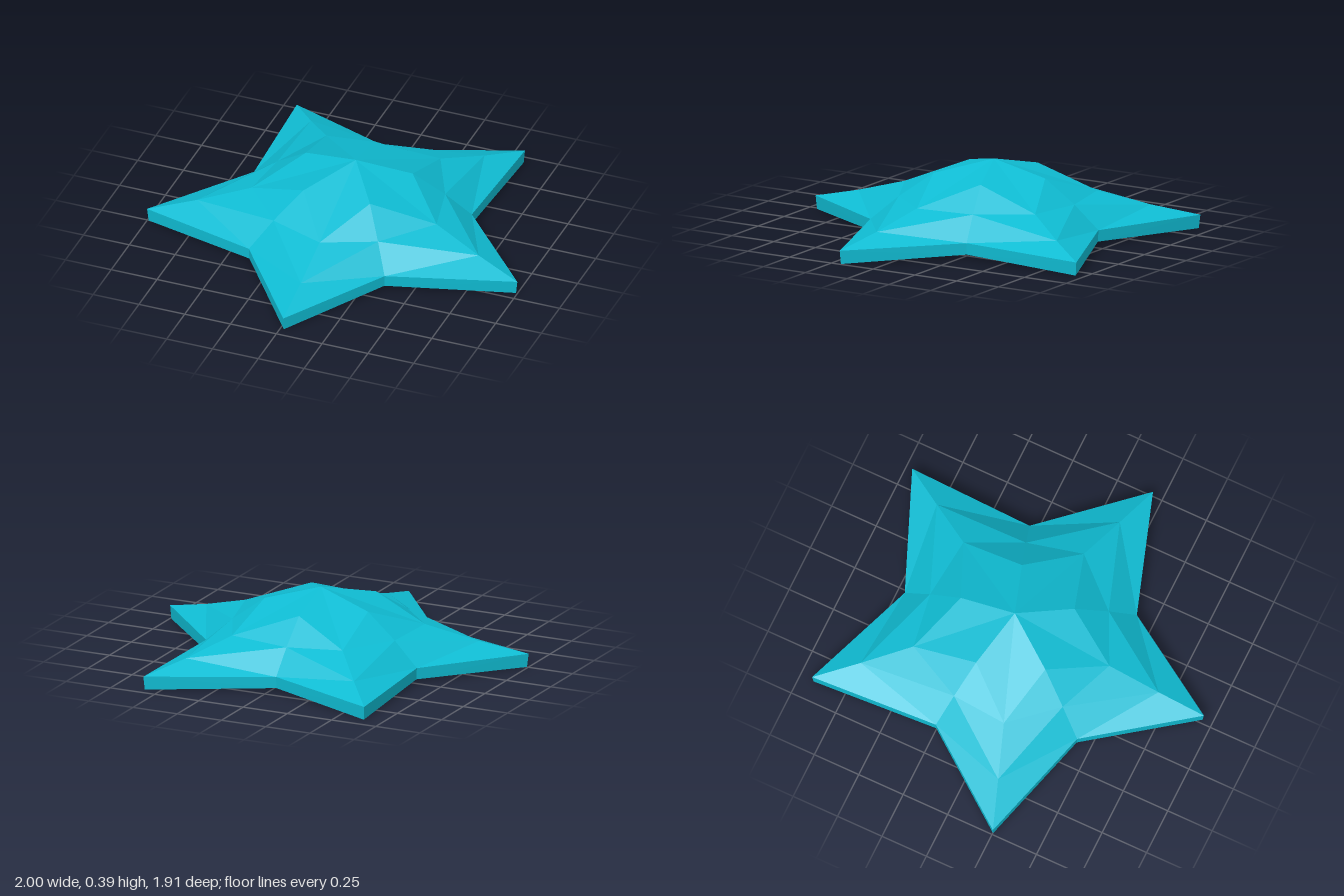
import * as THREE from 'three';

// Star corners [x, z], alternating tip and notch, starting at the front tip
const OUTLINE = [
  [0.02, 0.955], [0.36, 0.415], [1, 0.2], [0.56, -0.285], [0.585, -0.957],
  [-0.04, -0.70], [-0.65, -0.93], [-0.615, -0.25], [-1, 0.255], [-0.375, 0.43],
];
const PEAK = [0, 0.39, -0.1];

// A ring part-way from the peak to the outline; tips and notches have own heights
function ring(tipPart, tipY, notchPart, notchY) {
  return OUTLINE.map(([x, z], i) => {
    const t = i % 2 ? notchPart : tipPart;
    return [x * t, i % 2 ? notchY : tipY, PEAK[2] + (z - PEAK[2]) * t];
  });
}

// Joins successive rings with triangles, mirrored about each arm's ridge
function skin(rings) {
  const pos = [];
  const tri = (...points) => points.forEach((p) => pos.push(...p));
  for (let r = 0; r + 1 < rings.length; r++) {
    for (let i = 0; i < 10; i++) {
      const j = (i + 1) % 10;
      const a = rings[r][i], b = rings[r][j];
      const c = rings[r + 1][j], d = rings[r + 1][i];
      if (a === b) tri(a, d, c);
      else if (i % 2) { tri(a, d, b); tri(d, c, b); }
      else { tri(a, d, c); tri(a, c, b); }
    }
  }
  const geometry = new THREE.BufferGeometry();
  geometry.setAttribute('position', new THREE.Float32BufferAttribute(pos, 3));
  geometry.computeVertexNormals();
  return geometry;
}

export function createModel() {
  const group = new THREE.Group();
  group.name = 'star';
  const cyan = new THREE.MeshStandardMaterial({
    name: 'cyan', color: 0x0fbcd3, flatShading: true, side: THREE.DoubleSide,
  });

  const edge = ring(1, 0.07, 1, 0.082);
  const add = (name, rings) => {
    const mesh = new THREE.Mesh(skin(rings), cyan);
    mesh.name = name;
    group.add(mesh);
  };

  // Domed upper shell with ridged arms
  add('upperShell', [
    OUTLINE.map(() => PEAK),
    ring(0.5, 0.21, 0.49, 0.318),
    ring(0.76, 0.13, 0.77, 0.2),
    edge,
  ]);

  // Thin side wall, open underneath
  add('sideWall', [edge, ring(0.992, 0, 0.995, 0.022)]);
  return group;
}
